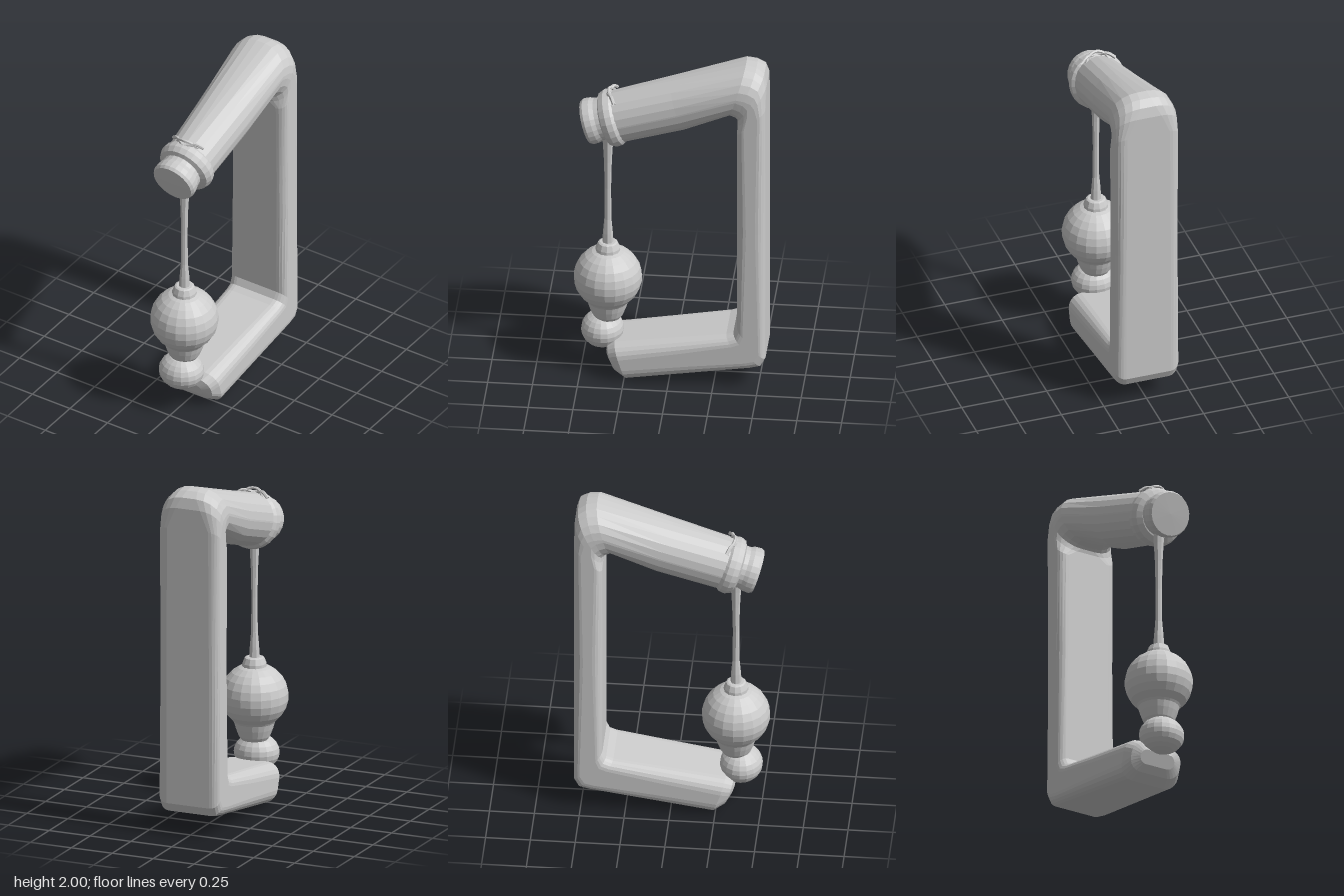
import * as THREE from 'three';

const mat = new THREE.MeshStandardMaterial({ color: 0xcccccc, flatShading: true, side: THREE.DoubleSide });
const v = (x, y) => new THREE.Vector2(x, y);

function add(parent, name, geometry, x = 0, y = 0, z = 0) {
  const mesh = new THREE.Mesh(geometry, mat);
  mesh.name = name;
  mesh.position.set(x, y, z);
  parent.add(mesh);
  return mesh;
}

const lathe = (points, sides) => new THREE.LatheGeometry(points.map(([r, y]) => v(r, y)), sides);

// Rounded rectangle of half sizes w, h as a counter-clockwise loop
function roundedLoop(w, h, radius, steps = 5) {
  const r = Math.min(radius, w, h);
  const loop = [];
  [[1, 1], [-1, 1], [-1, -1], [1, -1]].forEach(([sx, sy], q) => {
    for (let k = 0; k <= steps; k++) {
      const a = (q + k / steps) * Math.PI / 2;
      loop.push([sx * (w - r) + r * Math.cos(a), sy * (h - r) + r * Math.sin(a)]);
    }
  });
  return loop;
}

// Skin over cross-sections: [outer z, outer y, inner z, inner y, half width, corner radius]
function loft(sections) {
  const pos = [], index = [];
  let n = 0;
  for (const [oz, oy, iz, iy, w, r] of sections) {
    const h = Math.hypot(iz - oz, iy - oy) / 2;
    const loop = roundedLoop(w, h, r);
    n = loop.length;
    for (const [x, t] of loop) {
      const f = (t / h + 1) / 2;
      pos.push(x, oy + (iy - oy) * f, oz + (iz - oz) * f);
    }
  }
  const last = (sections.length - 1) * n;
  for (let j = 0; j < n; j++) {
    const k = (j + 1) % n;
    for (let b = 0; b < last; b += n) {
      index.push(b + j, b + n + j, b + k, b + k, b + n + j, b + n + k);
    }
    if (j > 0 && j < n - 1) {
      index.push(0, j, j + 1, last, last + j + 1, last + j);
    }
  }
  const g = new THREE.BufferGeometry();
  g.setAttribute('position', new THREE.Float32BufferAttribute(pos, 3));
  g.setIndex(index);
  g.computeVertexNormals();
  return g;
}

export function createModel() {
  const model = new THREE.Group();
  model.name = 'hangingBell';

  // Foot, upright post and sloping upper arm as one bent bar
  add(model, 'frame', loft([
    [0.325, 0.075, 0.355, 0.15, 0.11, 0.04],
    [0.295, 0.035, 0.347, 0.19, 0.16, 0.07],
    [0.235, 0.0, 0.305, 0.218, 0.185, 0.08],
    [-0.1, 0.055, -0.04, 0.272, 0.185, 0.07],
    [-0.46, 0.115, -0.32, 0.315, 0.185, 0.06],
    [-0.515, 0.13, -0.36, 0.33, 0.185, 0.06],
    [-0.54, 0.18, -0.38, 0.37, 0.185, 0.055],
    [-0.54, 1.0, -0.38, 1.0, 0.185, 0.055],
    [-0.54, 1.78, -0.38, 1.62, 0.185, 0.06],
    [-0.54, 1.9, -0.38, 1.655, 0.185, 0.11],
    [-0.525, 1.96, -0.375, 1.675, 0.185, 0.14],
    [-0.48, 1.99, -0.36, 1.685, 0.182, 0.15],
    [-0.42, 2.0, -0.33, 1.695, 0.178, 0.15],
    [0.0, 1.865, -0.09, 1.58, 0.16, 0.145],
    [0.34, 1.757, 0.25, 1.472, 0.145, 0.145],
  ]));

  // Collar and end cap share the slope of the arm
  const tilt = 1.875;
  const collar = add(model, 'collar', lathe([
    [0.1, -0.05], [0.142, -0.05], [0.161, -0.028], [0.165, 0.005], [0.152, 0.036], [0.12, 0.05], [0.08, 0.05],
  ], 24), 0, 1.602, 0.33);
  collar.rotation.x = tilt;
  const cap = add(model, 'endCap', lathe([
    [0.12, 0], [0.12, 0.08], [0.129, 0.105], [0.131, 0.14], [0.122, 0.157], [0, 0.16],
  ], 24), 0, 1.613, 0.325);
  cap.rotation.x = tilt;

  // Knotted cord on top of the collar
  const cord = (name, pts, r) => add(model, name, new THREE.TubeGeometry(
    new THREE.CatmullRomCurve3(pts.map(p => new THREE.Vector3(...p))), 20, r, 6));
  cord('knotCord', [[-0.1, 1.745, 0.31], [-0.06, 1.77, 0.33], [0, 1.755, 0.355],
    [0.06, 1.77, 0.33], [0.1, 1.745, 0.31]], 0.01);
  cord('knotLoop', [[-0.07, 1.735, 0.315], [-0.04, 1.772, 0.34], [0, 1.782, 0.35],
    [0.04, 1.772, 0.34], [0.07, 1.735, 0.315]], 0.009);

  // Hanging string, flared at both ends
  add(model, 'string', lathe([
    [0.032, 0.78], [0.028, 0.86], [0.02, 0.95], [0.018, 1.15], [0.022, 1.32], [0.028, 1.43], [0.034, 1.5],
  ], 8), 0, 0, 0.353);

  // Bell body with its top ferrule
  add(model, 'ferrule', lathe([[0.07, 0.74], [0.068, 0.765], [0.055, 0.797], [0.045, 0.802], [0, 0.802]], 12), 0, 0, 0.353);
  const body = [[0, 0.325], [0.075, 0.325], [0.088, 0.345], [0.105, 0.39], [0.115, 0.425]];
  for (let a = -50; a <= 90; a += 14) {
    const t = a * Math.PI / 180;
    body.push([Math.max(0, 0.191 * Math.cos(t)), 0.578 + 0.184 * Math.sin(t)]);
  }
  add(model, 'bellBody', lathe(body, 20), 0, 0, 0.353);

  // Clapper ball below
  add(model, 'clapper', new THREE.SphereGeometry(1, 18, 12), 0, 0.243, 0.383).scale.set(0.13, 0.105, 0.12);

  return model;
}
